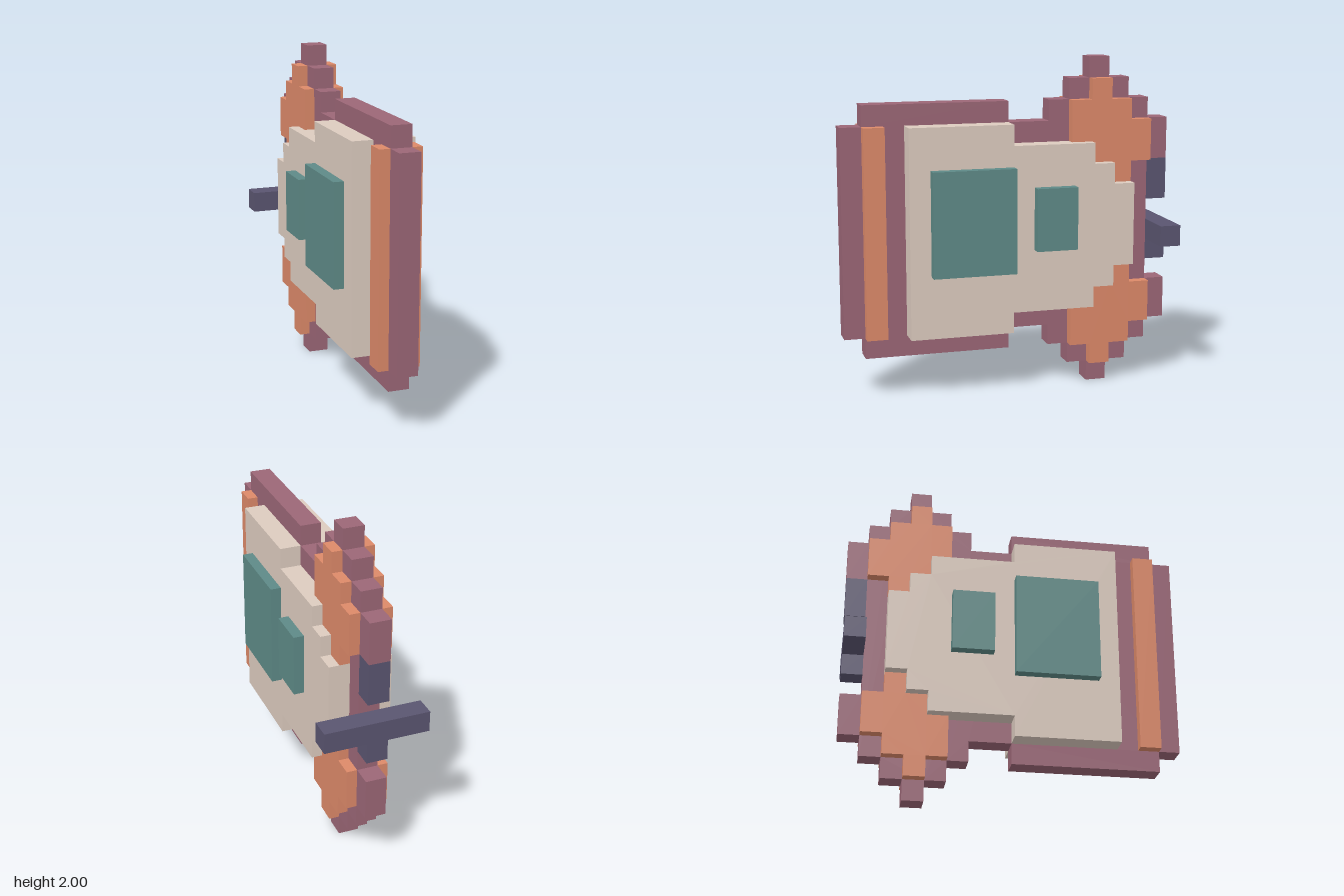
import * as THREE from 'three';

const U = 0.125; // one block
const MID = 8;   // height of the horizontal mirror line, in blocks

const material = (color) => new THREE.MeshStandardMaterial({ color, flatShading: true });

// Stepped plate in the z-y plane, centred on x = 0.
// Columns run front to back as [zFront, zBack, yLow, yHigh] in blocks.
function plate(name, columns, thickness, mat) {
  const top = [], bottom = [];
  for (const [z0, z1, lo, hi] of columns) {
    top.push([z0, hi], [z1, hi]);
    bottom.push([z0, lo], [z1, lo]);
  }
  const outline = [...top, ...bottom.reverse()]
    .filter((p, i, a) => i === 0 || p[0] !== a[i - 1][0] || p[1] !== a[i - 1][1])
    .map(([z, y]) => new THREE.Vector2(z * U, y * U));
  const geometry = new THREE.ExtrudeGeometry(new THREE.Shape(outline), {
    depth: thickness * U, bevelEnabled: false,
  });
  geometry.translate(0, 0, -thickness * U / 2).rotateY(-Math.PI / 2);
  const mesh = new THREE.Mesh(geometry, mat);
  mesh.name = name;
  return mesh;
}

// Box from its block ranges
function block(name, [x0, x1], [y0, y1], [z0, z1], mat) {
  const mesh = new THREE.Mesh(
    new THREE.BoxGeometry((x1 - x0) * U, (y1 - y0) * U, (z1 - z0) * U), mat);
  mesh.position.set((x0 + x1) / 2 * U, (y0 + y1) / 2 * U, (z0 + z1) / 2 * U);
  mesh.name = name;
  return mesh;
}

export function createModel() {
  const group = new THREE.Group();
  group.name = 'blockModel';
  const purple = material(0x9b6676);
  const orange = material(0xdc8969);
  const beige = material(0xdccbbf);
  const teal = material(0x5e8a87);
  const navy = material(0x5a5570);

  // Thin central core, symmetric top to bottom: [zFront, zBack, halfHeight]
  const core = [[8, 7, 5], [7, 0, 6], [0, -2, 5], [-2, -3, 6], [-3, -4, 7],
    [-4, -5, 8], [-5, -6, 7], [-6, -7, 6]];
  group.add(plate('core', core.map(([a, b, h]) => [a, b, MID - h, MID + h]), 1, purple));

  // Thick body shell
  const body = [[5, 0, 5], [0, -4, 4], [-4, -5, 3], [-5, -6, 2]];
  group.add(plate('body', body.map(([a, b, h]) => [a, b, MID - h, MID + h]), 3, beige));

  // Front band
  group.add(block('frontBand', [-1, 1], [3, 13], [6, 7], orange));

  // Upper and lower fins with their rear tips
  const fin = [[-3, -4, 12, 14], [-4, -5, 11, 15], [-5, -6, 10, 14], [-6, -7, 11, 13]];
  group.add(plate('upperFin', fin, 2, orange));
  group.add(plate('lowerFin', fin.map(([a, b, lo, hi]) => [a, b, 16 - hi, 16 - lo]), 2, orange));
  group.add(block('upperFinTip', [-0.5, 0.5], [11, 13], [-8, -7], purple));
  group.add(block('lowerFinTip', [-0.5, 0.5], [3, 5], [-8, -7], purple));

  // Raised side panels
  for (const [side, s] of [['left', 1], ['right', -1]]) {
    const x = s > 0 ? [1.5, 2] : [-2, -1.5];
    group.add(block(side + 'LargePanel', x, [6, 11], [0, 4], teal));
    group.add(block(side + 'SmallPanel', x, [7, 10], [-3, -1], teal));
  }

  // Rear fittings and crossbar
  group.add(block('upperRearBlock', [-0.5, 0.5], [9, 11], [-8, -7], navy));
  group.add(block('lowerRearBlock', [-0.5, 0.5], [6, 7], [-8, -7], navy));
  group.add(block('rearCrossbar', [-2.5, 2.5], [7, 8], [-8, -7], navy));

  return group;
}
